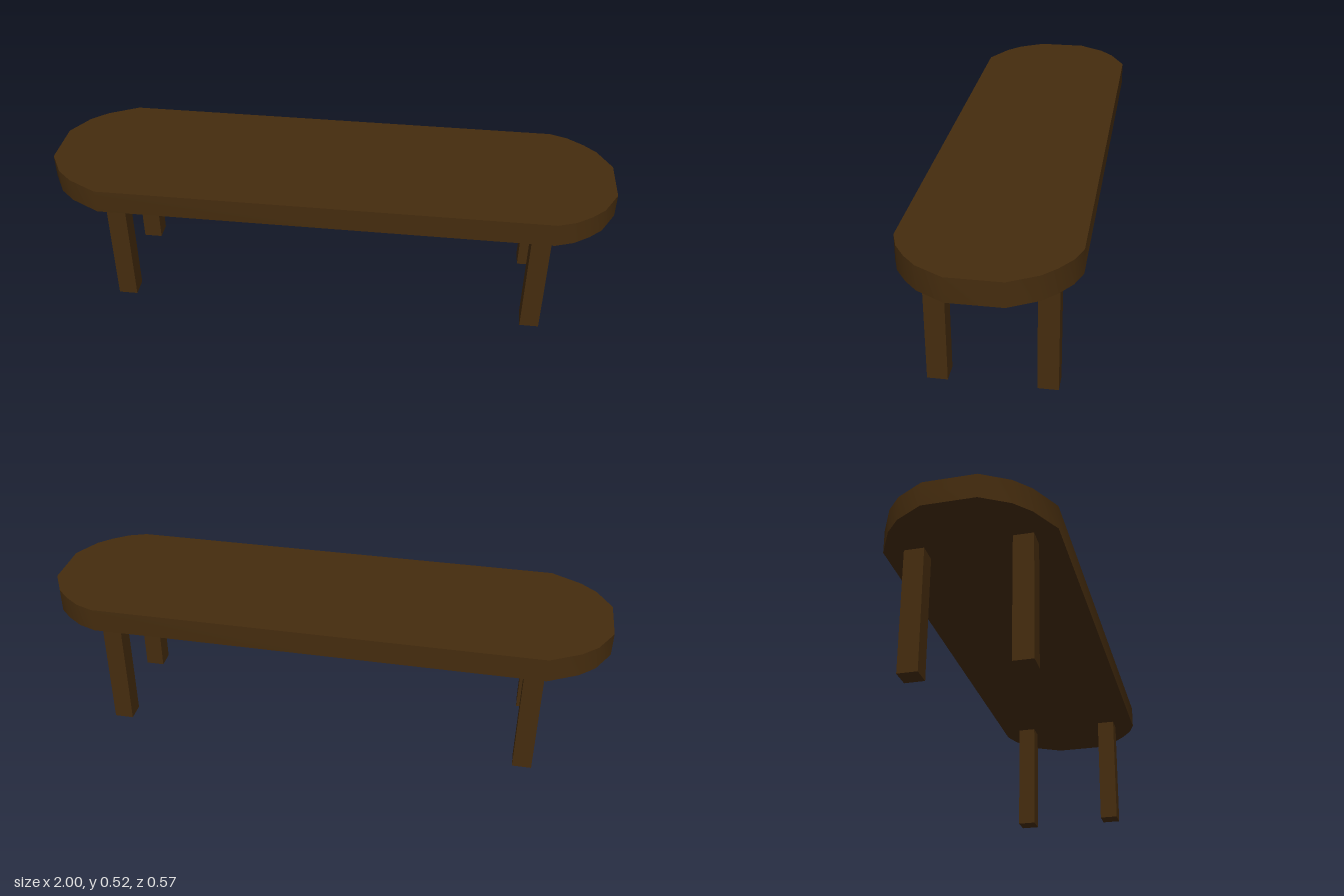
import * as THREE from 'three';
import { toCreasedNormals } from 'three/addons/utils/BufferGeometryUtils.js';

const TOP = 0.52, UNDERSIDE = 0.436;

export function createModel() {
  const bench = new THREE.Group();
  bench.name = 'bench';
  const wood = new THREE.MeshStandardMaterial({ color: 0x452c0e });

  // Seat: slab with faceted round ends, shaded smoothly around the rim
  const rightEnd = [[0.787, 0.286], [0.85, 0.263], [0.905, 0.224], [0.95, 0.18], [1, 0.088]];
  const leftEnd = [[-1, 0.088], [-0.947, 0.18], [-0.892, 0.23], [-0.787, 0.286]];
  const back = [...leftEnd, ...rightEnd];
  const front = back.map(([x, z]) => [x, -z]).reverse();
  const outline = new THREE.Shape([...back, ...front].map(([x, z]) => new THREE.Vector2(x, z)));
  const slab = new THREE.ExtrudeGeometry(outline, { depth: TOP - UNDERSIDE, bevelEnabled: false });
  slab.rotateX(-Math.PI / 2).translate(0, UNDERSIDE, 0);
  const seat = new THREE.Mesh(toCreasedNormals(slab, Math.PI / 3), wood);
  seat.name = 'seat';
  bench.add(seat);

  // Legs: four square posts
  const legGeometry = new THREE.BoxGeometry(0.068, UNDERSIDE, 0.068);
  const legs = [
    ['frontLeftLeg', 0.754, 0.174],
    ['frontRightLeg', -0.751, 0.174],
    ['backLeftLeg', 0.754, -0.183],
    ['backRightLeg', -0.751, -0.183],
  ];
  for (const [name, x, z] of legs) {
    const leg = new THREE.Mesh(legGeometry, wood);
    leg.name = name;
    leg.position.set(x, UNDERSIDE / 2, z);
    bench.add(leg);
  }
  return bench;
}
